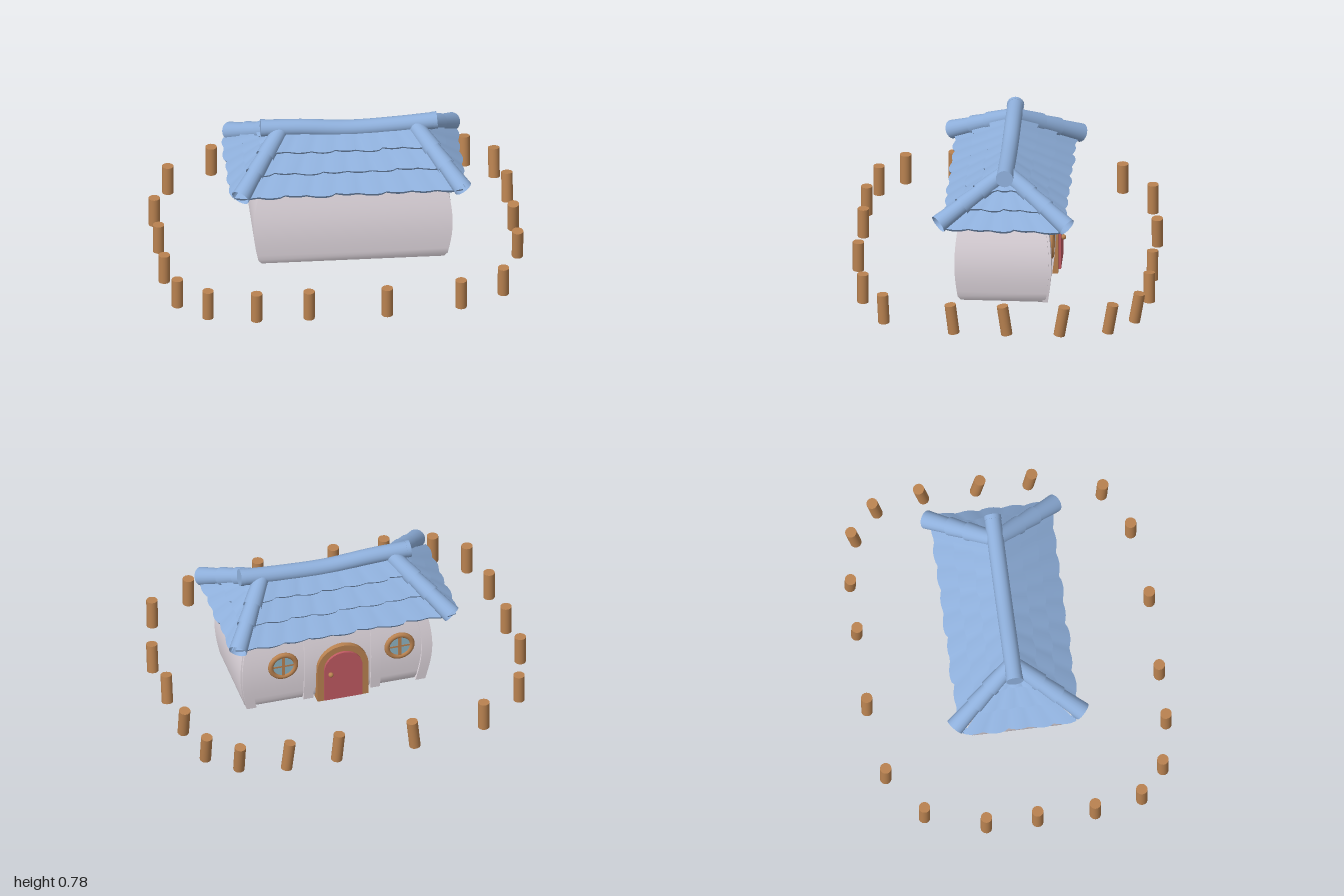
import * as THREE from 'three';
import { toCreasedNormals } from 'three/addons/utils/BufferGeometryUtils.js';

const V = (x, y, z) => new THREE.Vector3(x, y, z);
const mat = (color) => new THREE.MeshStandardMaterial({ color, side: THREE.DoubleSide });

export function createModel() {
  const root = new THREE.Group();
  const wall = mat(0xe6dde4), blue = mat(0x8fb0dc), wood = mat(0xb98250);
  const red = mat(0xc05a62), glass = mat(0x8fb5c4);

  const add = (name, geometry, material, parent = root) => {
    const m = new THREE.Mesh(geometry, material);
    m.name = name;
    parent.add(m);
    return m;
  };
  const group = (name) => {
    const g = new THREE.Group();
    g.name = name;
    root.add(g);
    return g;
  };
  // Round rod from a to b
  const rod = (name, a, b, ra, rb, material, parent, open = false) => {
    const d = b.clone().sub(a);
    const m = add(name, new THREE.CylinderGeometry(rb, ra, d.length(), 20, 1, open), material, parent);
    m.position.copy(a).add(b).multiplyScalar(0.5);
    m.quaternion.setFromUnitVectors(V(0, 1, 0), d.normalize());
    return m;
  };

  // Walls: open four-sided shell that bulges at mid height
  const bulge = (y) => Math.sin(Math.PI * THREE.MathUtils.clamp((y - 0.02) / 0.46, 0, 1));
  const shell = new THREE.CylinderGeometry(Math.SQRT1_2, Math.SQRT1_2, 0.48, 4, 16, true, Math.PI / 4);
  const sp = shell.attributes.position;
  for (let i = 0; i < sp.count; i++) {
    const y = sp.getY(i) + 0.26, b = bulge(y);
    const foot = y < 0.03 ? 0.012 : 0;
    sp.setXYZ(i, 0.07 + sp.getX(i) * 2 * (0.508 + 0.032 * b - foot), y,
      -0.006 + sp.getZ(i) * 2 * (0.236 + 0.02 * b - foot));
  }
  add('walls', toCreasedNormals(shell, 0.6), wall);

  // Upright pilasters dividing the door side
  const pilasters = group('pilasters');
  for (const [x, lean] of [[0.545, 0.03], [0.225, 0], [-0.15, 0], [-0.405, -0.03]]) {
    const g = new THREE.BoxGeometry(0.055, 0.45, 0.03, 1, 12, 1);
    const p = g.attributes.position;
    for (let i = 0; i < p.count; i++) {
      const y = p.getY(i) + 0.245, b = bulge(y);
      p.setXYZ(i, x + p.getX(i) + lean * b, y, p.getZ(i) - 0.24 - 0.02 * b);
    }
    add('pilaster', toCreasedNormals(g, 0.6), wall, pilasters);
  }

  // Hipped roof: three overlapping tile rows on each of four slopes
  const roof = group('roof');
  const eave = [V(0.66, 0.48, 0.295), V(0.66, 0.48, -0.325), V(-0.58, 0.48, -0.325), V(-0.58, 0.48, 0.295)];
  const apex = [V(0.41, 0.735, -0.015), V(0.41, 0.735, -0.015), V(-0.3, 0.735, -0.015), V(-0.3, 0.735, -0.015)];
  const tileRow = (side, t0, t1, row) => {
    const j = (side + 1) % 4;
    const a = eave[side], b = eave[j], c = apex[side], d = apex[j];
    const top = c.clone().lerp(d, 0.5);
    const n = b.clone().sub(a).cross(top.sub(a)).normalize();
    const tiles = (side % 2 ? 9 : 5) - row, cols = tiles * 6;
    const pos = [], idx = [];
    // each cross-section: underside, lower lip, upper lip, hidden top edge
    const section = [[t0 + 0.06, -0.006], [t0, 0], [t0, 0.02], [t1, 0]];
    for (let i = 0; i <= cols; i++) {
      const u = i / cols, k = Math.min(tiles - 1, Math.floor(i / 6));
      const arc = Math.abs(Math.sin(u * tiles * Math.PI));
      const uneven = 0.012 * Math.sin(k * 2.7 + row * 1.9 + side);
      section.forEach(([t, lift], s) => {
        const tt = s < 3 ? t - 0.025 * arc + uneven : t;
        const p = a.clone().lerp(b, u).lerp(c.clone().lerp(d, u), tt);
        p.addScaledVector(n, lift + (s === 2 ? 0.007 * arc : 0));
        if (side % 2) p.y -= 0.015 * tt * Math.sin(u * Math.PI);
        pos.push(p.x, p.y, p.z);
        if (i < cols && s < 3) {
          const q = i * 4 + s;
          idx.push(q, q + 4, q + 1, q + 1, q + 4, q + 5);
        }
      });
    }
    const g = new THREE.BufferGeometry();
    g.setAttribute('position', new THREE.Float32BufferAttribute(pos, 3));
    g.setIndex(idx);
    add('tileRow', toCreasedNormals(g, 0.5), blue, roof);
  };
  for (let side = 0; side < 4; side++) {
    [[0.0, 0.4], [0.33, 0.7], [0.64, 1.0]].forEach(([t0, t1], row) => tileRow(side, t0, t1, row));
  }

  // Hip tiles: three flared, hollow pipes down each corner
  const hips = group('hipTiles');
  for (const [x, z, ax] of [[0.66, 0.335, 0.42], [0.655, -0.365, 0.42], [-0.55, -0.365, -0.3], [-0.55, 0.335, -0.3]]) {
    const hi = V(ax, 0.722, -0.018), lo = V(x, 0.512, z);
    for (const [s, e] of [[0, 0.4], [0.34, 0.66], [0.6, 1]]) {
      rod('hipTile', hi.clone().lerp(lo, s), hi.clone().lerp(lo, e), 0.041, 0.051, blue, hips, true);
    }
    rod('hipPlug', hi.clone().lerp(lo, 0.84), hi.clone().lerp(lo, 0.86), 0.046, 0.046, blue, hips);
  }

  // Sagging ridge pipe with end rings
  const ridgeCurve = new THREE.CatmullRomCurve3([
    V(-0.4, 0.735, -0.018), V(-0.2, 0.73, -0.018), V(0.07, 0.712, -0.018), V(0.33, 0.722, -0.018), V(0.535, 0.738, -0.018)]);
  add('ridge', new THREE.TubeGeometry(ridgeCurve, 32, 0.045, 20), blue);
  for (const t of [0, 1]) {
    const p = ridgeCurve.getPointAt(t), d = ridgeCurve.getTangentAt(t).multiplyScalar(0.012);
    rod('ridgeEnd', p.clone().sub(d), p.clone().add(d), 0.047, 0.047, blue, root);
  }

  // Arched door with frame, sill and knob
  const arch = (Type, r, y0) => {
    const s = new Type();
    s.moveTo(-r, y0);
    s.lineTo(r, y0);
    s.lineTo(r, 0.22);
    s.absarc(0, 0.22, r, 0, Math.PI, false);
    s.lineTo(-r, y0);
    return s;
  };
  const extrude = (shape, depth) => toCreasedNormals(
    new THREE.ExtrudeGeometry(shape, { depth, bevelEnabled: false, curveSegments: 20 }), 0.6);
  const door = group('door');
  door.position.x = 0.04;
  const frameShape = arch(THREE.Shape, 0.143, 0.012);
  frameShape.holes.push(arch(THREE.Path, 0.106, 0.03));
  add('doorFrame', extrude(frameShape, 0.06), wood, door).position.z = -0.286;
  add('doorPanel', extrude(arch(THREE.Shape, 0.107, 0.022), 0.05), red, door).position.z = -0.3;
  add('doorKnob', new THREE.SphereGeometry(0.014, 16, 12), wood, door).position.set(0.075, 0.2, -0.312);

  // Round windows
  for (const x of [0.37, -0.285]) {
    const w = group('window');
    w.position.set(x, 0.28, -0.262);
    add('windowRing', new THREE.TorusGeometry(0.07, 0.015, 10, 32), wood, w);
    const pane = add('windowPane', new THREE.CylinderGeometry(0.068, 0.068, 0.012, 32), glass, w);
    pane.rotation.x = Math.PI / 2;
    add('windowBar', new THREE.BoxGeometry(0.018, 0.135, 0.02), wood, w);
    add('windowCrossbar', new THREE.BoxGeometry(0.135, 0.01, 0.016), wood, w);
  }

  // Ring of fence posts: x, z, lean in x, lean in z
  const fence = group('fencePosts');
  const posts = [
    [-0.87, -0.57, 0, 0], [-0.62, -0.75, 0, 0], [-0.21, -0.8, 0.008, 0], [0.215, -0.8, -0.008, 0],
    [0.495, -0.8, -0.01, 0], [0.755, -0.75, 0, -0.014], [0.905, -0.615, 0, -0.014], [0.955, -0.355, 0, -0.014],
    [0.963, -0.045, 0, 0.012], [0.963, 0.24, 0, 0.01], [0.855, 0.62, 0, 0.004], [0.615, 0.745, 0, 0],
    [0.21, 0.795, 0, 0], [-0.215, 0.795, 0, 0], [-0.5, 0.795, 0, 0], [-0.76, 0.745, 0, 0],
    [-0.915, 0.61, 0, 0], [-0.965, 0.35, 0, 0], [-0.97, 0.035, 0, 0], [-0.97, -0.245, 0, 0]];
  for (const [x, z, lx, lz] of posts) {
    const y = lx || lz ? 0.01 : 0.016;
    rod('fencePost', V(x - lx, y, z - lz), V(x + lx, y + 0.166, z + lz), 0.031, 0.031, wood, fence);
  }
  return root;
}
